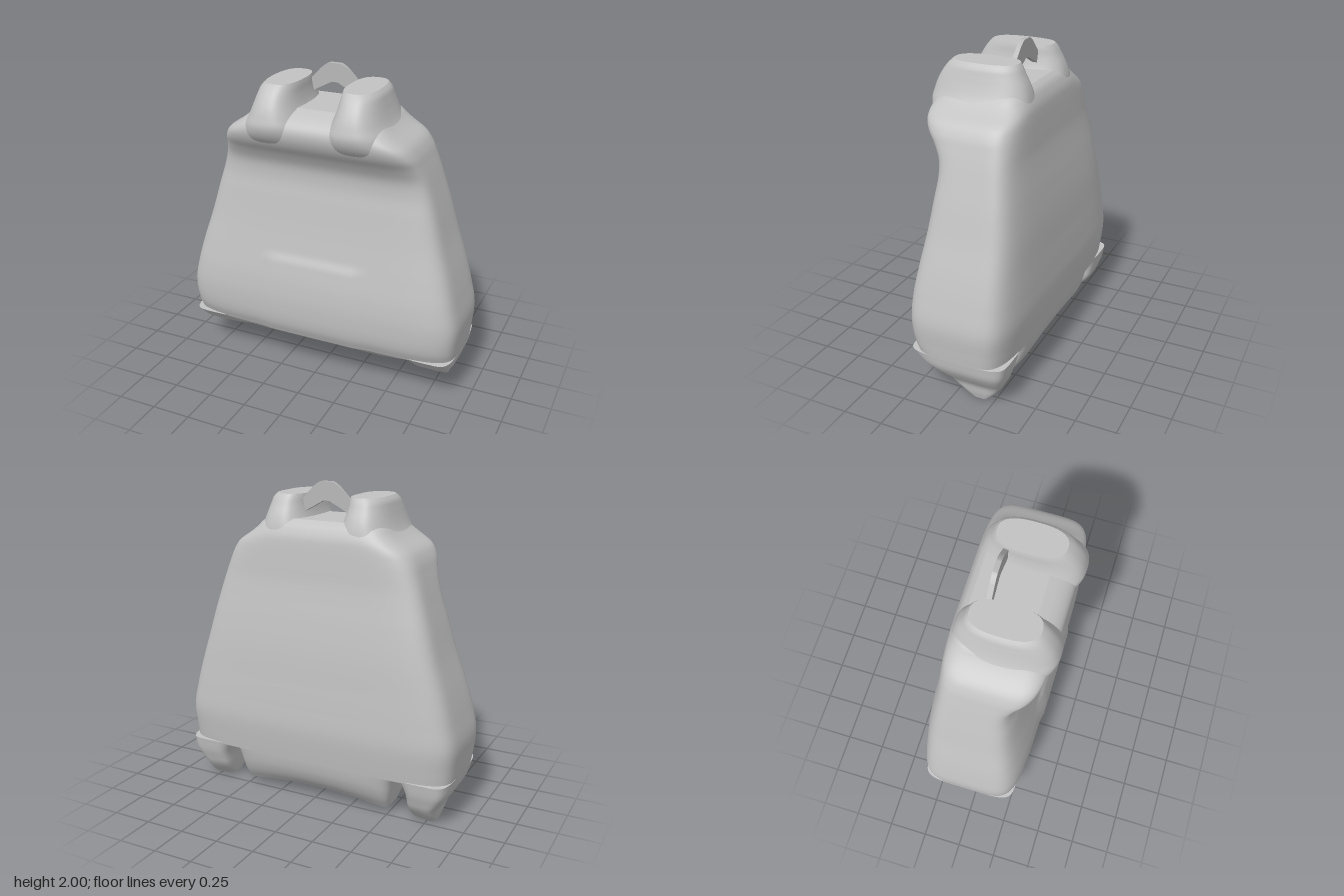
import * as THREE from 'three';

const SIDES = 128;

// Rounded-square loop of unit points, evenly spaced, running from +x towards +z.
function unitLoop(n) {
  const pts = [];
  const q = SIDES / 4;
  for (let i = 0; i < SIDES; i++) {
    const t = ((i % q) / q) * 2 - 1;
    const [a, b] = [[1, t], [-t, 1], [-1, -t], [t, -1]][Math.floor(i / q)];
    const s = Math.pow(Math.abs(a) ** n + Math.abs(b) ** n, -1 / n);
    pts.push([a * s, b * s]);
  }
  return pts;
}

// Skin over horizontal sections. Rows, upwards: [y, xMin, xMax, zFront, zBack]
function loft(rows, n, steps, warp = () => {}) {
  const spline = new THREE.CubicInterpolant(
    rows.map(r => r[0]), rows.flatMap(r => r.slice(1)), 4);
  const loop = unitLoop(n);
  const pos = [], idx = [];
  const p = new THREE.Vector3();
  const y0 = rows[0][0], y1 = rows[rows.length - 1][0];
  const ring = y => {
    const [x0, x1, f, b] = spline.evaluate(y);
    for (const [u, v] of loop) {
      p.set((x0 + x1) / 2 + u * (x1 - x0) / 2, y, (f + b) / 2 + v * (f - b) / 2);
      warp(p);
      pos.push(p.x, p.y, p.z);
    }
  };
  for (let i = 0; i <= steps; i++) ring(y0 + (y1 - y0) * i / steps);
  for (let i = 0; i < steps; i++) {
    for (let j = 0; j < SIDES; j++) {
      const k = (j + 1) % SIDES;
      const a = i * SIDES + j, b = i * SIDES + k;
      idx.push(a, a + SIDES, b, b, a + SIDES, b + SIDES);
    }
  }
  // Closed ends, with their own vertices so the rims stay crisp
  for (const [y, top] of [[y0, false], [y1, true]]) {
    const start = pos.length / 3;
    ring(y);
    const [x0, x1, f, b] = spline.evaluate(y);
    p.set((x0 + x1) / 2, y, (f + b) / 2);
    warp(p);
    pos.push(p.x, p.y, p.z);
    for (let j = 0; j < SIDES; j++) {
      const a = start + j, c = start + (j + 1) % SIDES;
      idx.push(start + SIDES, top ? c : a, top ? a : c);
    }
  }
  const g = new THREE.BufferGeometry();
  g.setAttribute('position', new THREE.Float32BufferAttribute(pos, 3));
  g.setIndex(idx);
  g.computeVertexNormals();
  return g;
}

// Raised pouch pocket on the front
function pocket(p) {
  if (p.z < 0) return;
  const edge = 0.36 - 0.05 * p.y;
  p.z += 0.014 * (1 - THREE.MathUtils.smoothstep(Math.abs(p.x), edge - 0.04, edge + 0.02))
    * (1 - THREE.MathUtils.smoothstep(p.y, 0.79, 0.86));
}

export function createModel() {
  const group = new THREE.Group();
  const fabric = new THREE.MeshStandardMaterial({ color: 0xc2c2c2 });
  fabric.name = 'grey fabric';
  const trim = new THREE.MeshStandardMaterial({ color: 0xb8b8b8 });
  trim.name = 'grey trim';
  const add = (name, geometry, material = fabric) => {
    const m = new THREE.Mesh(geometry, material);
    m.name = name;
    group.add(m);
    return m;
  };

  // Torso and sleeves in one padded block: [y, halfWidth, front, back]
  const body = [
    [0.28, 0.905, 0.265, -0.345], [0.35, 0.912, 0.295, -0.355], [0.5, 0.92, 0.312, -0.37],
    [0.65, 0.89, 0.305, -0.365], [0.8, 0.85, 0.282, -0.355], [1.0, 0.787, 0.248, -0.34],
    [1.2, 0.73, 0.22, -0.315], [1.33, 0.69, 0.205, -0.295], [1.42, 0.662, 0.215, -0.283],
    [1.5, 0.635, 0.258, -0.277], [1.57, 0.608, 0.31, -0.272], [1.63, 0.565, 0.335, -0.267],
    [1.68, 0.49, 0.335, -0.26], [1.72, 0.44, 0.31, -0.245], [1.76, 0.4, 0.25, -0.22],
    [1.78, 0.36, 0.19, -0.19],
  ];
  add('body', loft(body.map(([y, w, f, b]) => [y, -w, w, f, b]), 6, 90, pocket));

  // Waist hem, with its lower edge arched up in the middle
  const hem = [
    [0.04, 0.5, -0.06, -0.25], [0.1, 0.515, 0.03, -0.29], [0.17, 0.53, 0.13, -0.32],
    [0.23, 0.545, 0.215, -0.335], [0.29, 0.57, 0.268, -0.345],
  ];
  add('hem', loft(hem.map(([y, w, f, b]) => [y, -w, w, f, b]), 9, 16, p => {
    const low = THREE.MathUtils.clamp((0.28 - p.y) / 0.24, 0, 1);
    p.y += 0.04 * low * (1 - (p.x / 0.5) ** 2);
  }));

  // Sleeve cuffs and the two sides of the hood, mirrored
  const cuff = [
    [0.01, 0.65, 0.8, -0.1, -0.21], [0.05, 0.642, 0.812, -0.04, -0.25],
    [0.11, 0.635, 0.825, 0.05, -0.295], [0.16, 0.63, 0.86, 0.12, -0.315],
    [0.21, 0.62, 0.89, 0.19, -0.332], [0.29, 0.58, 0.906, 0.27, -0.347],
  ];
  const hood = [
    [1.5, 0.04, 0.5, 0.22, -0.24], [1.6, 0.05, 0.5, 0.335, -0.25],
    [1.68, 0.07, 0.465, 0.372, -0.25], [1.74, 0.1, 0.43, 0.362, -0.24],
    [1.8, 0.125, 0.405, 0.34, -0.22], [1.86, 0.14, 0.385, 0.305, -0.19],
    [1.9, 0.145, 0.37, 0.272, -0.17], [1.92, 0.15, 0.35, 0.25, -0.155],
  ];
  for (const [side, s] of [['left', 1], ['right', -1]]) {
    const mirror = rows => s > 0 ? rows : rows.map(([y, a, b, f, k]) => [y, -b, -a, f, k]);
    add(side + 'Cuff', loft(mirror(cuff), 5, 18, p => {
      p.y += 0.12 * (0.8 - Math.abs(p.x)) * THREE.MathUtils.clamp(1 - p.y / 0.2, 0, 1) - 0.01 * (1 - p.y / 0.3);
    }));
    add(side + 'HoodSide', loft(mirror(hood), 2.6, 30));
  }

  // Flat peaked collar between the hood sides
  const peak = new THREE.Shape();
  peak.moveTo(-0.2, 1.79);
  peak.lineTo(-0.23, 1.82);
  peak.lineTo(-0.09, 1.965);
  peak.quadraticCurveTo(-0.05, 2, -0.03, 2);
  peak.lineTo(0.03, 2);
  peak.quadraticCurveTo(0.05, 2, 0.09, 1.965);
  peak.lineTo(0.22, 1.83);
  peak.lineTo(0.19, 1.79);
  peak.lineTo(0.02, 1.885);
  peak.lineTo(-0.02, 1.885);
  const collar = new THREE.ExtrudeGeometry(peak, { depth: 0.03, bevelEnabled: false });
  add('collar', collar, trim).position.z = -0.09;

  return group;
}
